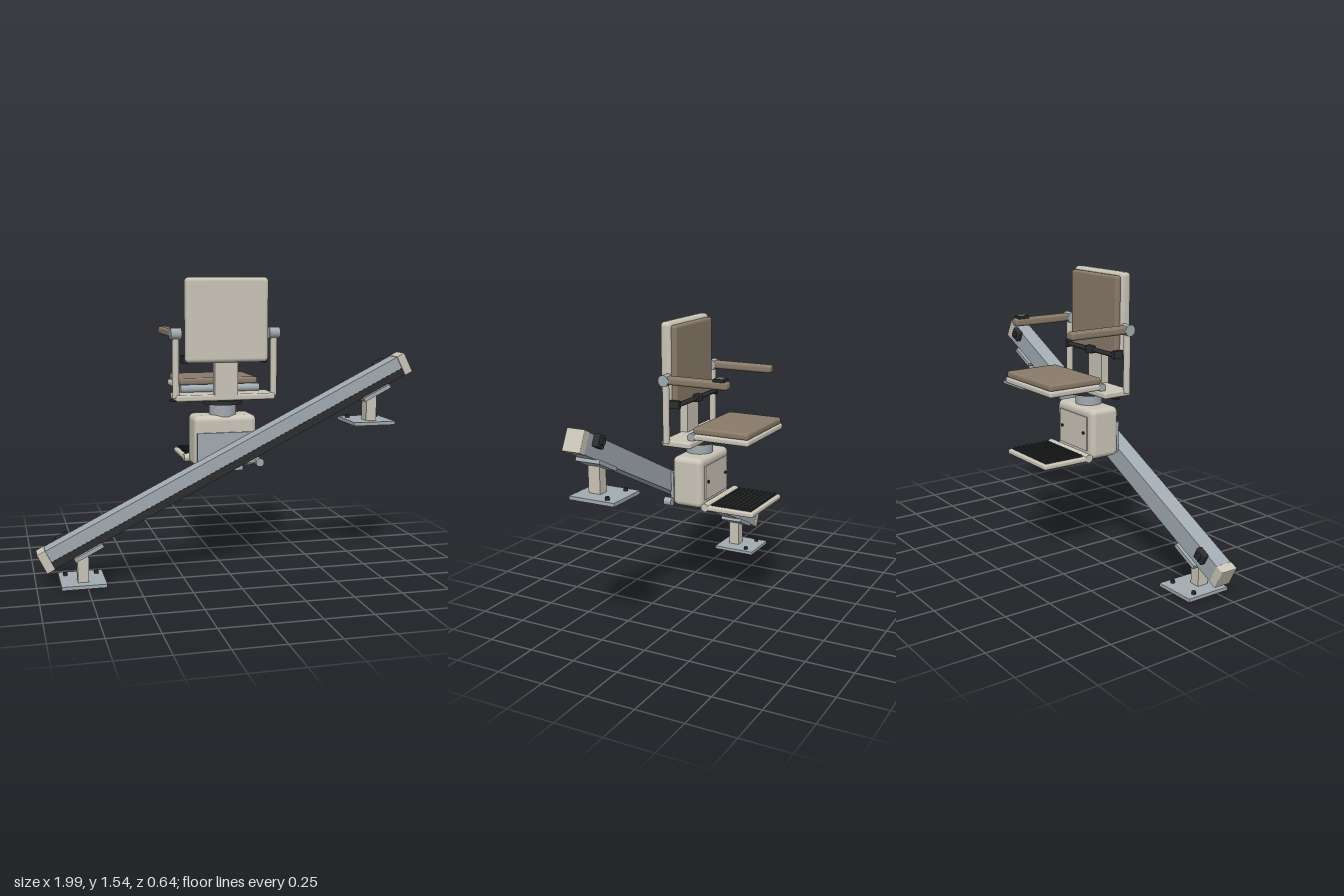
import * as THREE from 'three';
import { RoundedBoxGeometry } from 'three/addons/geometries/RoundedBoxGeometry.js';

const SLOPE = Math.atan(0.5);
const RAIL_Y = 0.61, RAIL_Z = 0.218;

export function createModel() {
  const model = new THREE.Group();
  model.name = 'stairLift';

  const material = (name, color) => {
    const m = new THREE.MeshStandardMaterial({ color });
    m.name = name;
    return m;
  };
  const beige = material('beige shell', 0xcac5b8);
  const steel = material('grey metal', 0xa2abb1);
  const brown = material('brown upholstery', 0x8a7b6a);
  const dark = material('dark rubber', 0x2c2e30);

  const add = (parent, name, geometry, mat, x, y, z) => {
    const mesh = new THREE.Mesh(geometry, mat);
    mesh.name = name;
    mesh.position.set(x, y, z);
    parent.add(mesh);
    return mesh;
  };
  // Box given by its limits; a radius rounds its edges
  const box = (parent, name, mat, [x0, x1], [y0, y1], [z0, z1], radius = 0) => {
    const size = [x1 - x0, y1 - y0, z1 - z0];
    const geometry = radius
      ? new RoundedBoxGeometry(...size, 4, radius)
      : new THREE.BoxGeometry(...size);
    return add(parent, name, geometry, mat, (x0 + x1) / 2, (y0 + y1) / 2, (z0 + z1) / 2);
  };
  // Cylinder along a chosen axis
  const rod = (parent, name, mat, radius, length, axis, x, y, z, sides = 28) => {
    const geometry = new THREE.CylinderGeometry(radius, radius, length, sides);
    if (axis === 'x') geometry.rotateZ(Math.PI / 2);
    if (axis === 'z') geometry.rotateX(Math.PI / 2);
    return add(parent, name, geometry, mat, x, y, z);
  };

  // Sloping rail with rack, end caps, saddles and end stops
  const rail = new THREE.Group();
  rail.name = 'rail';
  rail.position.set(0, RAIL_Y, RAIL_Z);
  rail.rotation.z = SLOPE;
  model.add(rail);
  box(rail, 'railBeam', steel, [-1.05, 1.05], [-0.053, 0.053], [-0.048, 0.045]);
  box(rail, 'rack', dark, [-1.045, 1.045], [-0.053, -0.012], [0.044, 0.047]);
  for (const s of [-1, 1]) {
    box(rail, 'endCap', beige, s < 0 ? [-1.0865, -1.04] : [1.04, 1.0865],
      [-0.056, 0.056], [-0.049, 0.049], 0.004);
    const along = s * 0.765 / Math.cos(SLOPE);
    box(rail, 'saddle', steel, [along - 0.08, along + 0.08], [-0.071, -0.05], [-0.067, 0.067]);
    const stop = s * 0.855 / Math.cos(SLOPE) + 0.014;
    box(rail, 'endStop', dark, [stop - 0.032, stop + 0.032], [-0.002, 0.062], [-0.077, -0.046], 0.006);
    rod(rail, 'stopButton', dark, 0.018, 0.012, 'z', stop, 0.03, -0.082);
  }

  // Support feet under each end of the rail
  for (const s of [-1, 1]) {
    const x = s * 0.767, floor = s < 0 ? 0.004 : 0.776;
    box(model, 'footPlate', steel, [x - 0.114, x + 0.114], [floor - 0.004, floor + 0.014], [0.067, 0.32]);
    box(model, 'supportPost', beige, [x - 0.028, x + 0.028],
      [floor + 0.012, RAIL_Y + x * 0.5 - 0.066], [0.2, 0.265]);
    for (const b of [-1, 1]) rod(model, 'plateBolt', dark, 0.012, 0.016, 'y', x + b * 0.08, floor + 0.021, 0.125, 6);
  }

  // Carriage housing and its panels
  box(model, 'carriageHousing', beige, [-0.168, 0.166], [0.556, 0.828], [-0.01, 0.165], 0.03);
  box(model, 'mountingPlate', steel, [-0.155, 0.165], [0.572, 0.74], [0.155, 0.174]);
  box(model, 'lowerGuide', steel, [-0.05, 0.09], [0.536, 0.57], [0.13, 0.17]);
  rod(model, 'guideRoller', steel, 0.022, 0.045, 'z', 0.175, 0.578, 0.18);
  box(model, 'accessPanel', beige, [-0.125, 0.125], [0.6, 0.785], [-0.018, -0.009]);
  for (const s of [-1, 1]) rod(model, 'panelScrew', dark, 0.008, 0.008, 'z', s * 0.1, 0.695, -0.021, 16);

  // Folding footrest with ribbed tread
  rod(model, 'footrestHinge', beige, 0.022, 0.37, 'x', 0, 0.577, -0.04);
  box(model, 'footrestArm', beige, [-0.1, 0.1], [0.562, 0.585], [-0.05, 0.01]);
  box(model, 'footrest', beige, [-0.185, 0.185], [0.56, 0.588], [-0.318, -0.04], 0.01);
  box(model, 'footrestTread', dark, [-0.165, 0.165], [0.586, 0.594], [-0.3, -0.07]);
  for (let i = 0; i < 9; i++) {
    const z = -0.288 + i * 0.0258;
    box(model, 'treadRib', dark, [-0.162, 0.162], [0.593, 0.6], [z - 0.006, z + 0.006]);
  }

  // Swivel column and seat base
  rod(model, 'swivelColumn', steel, 0.072, 0.08, 'y', 0, 0.86, 0.085, 40);
  rod(model, 'swivelDisc', dark, 0.104, 0.022, 'y', 0, 0.896, 0.085, 40);
  box(model, 'seatBase', beige, [-0.265, 0.265], [0.907, 0.94], [0, 0.168], 0.01);
  box(model, 'swivelLever', dark, [-0.282, -0.2], [0.898, 0.91], [0.06, 0.085], 0.004);

  // Seat
  rod(model, 'seatHinge', steel, 0.022, 0.43, 'x', 0, 0.957, 0.022);
  box(model, 'seatPan', beige, [-0.222, 0.222], [0.945, 0.978], [-0.306, 0.006], 0.012);
  box(model, 'seatCushion', brown, [-0.213, 0.213], [0.974, 1.012], [-0.3, 0.014], 0.014);

  // Backrest
  box(model, 'backSpine', beige, [-0.062, 0.06], [0.915, 1.2], [0.125, 0.172]);
  box(model, 'backShell', beige, [-0.219, 0.219], [1.107, 1.543], [0.137, 0.198], 0.022);
  box(model, 'backCushion', brown, [-0.203, 0.203], [1.117, 1.525], [0.11, 0.15], 0.014);

  // Safety belt across the lower back
  rod(model, 'beltStrap', dark, 0.012, 0.43, 'x', 0, 1.118, 0.1);
  box(model, 'beltBuckle', dark, [-0.026, 0.026], [1.1, 1.14], [0.078, 0.112], 0.005);

  // Armrests, mirrored
  for (const s of [-1, 1]) {
    const x = s * 0.262;
    box(model, 'beltAnchor', dark, [s * 0.213 - 0.012, s * 0.213 + 0.012], [1.1, 1.143], [0.085, 0.145], 0.004);
    rod(model, 'armPost', beige, 0.018, 0.32, 'y', x, 1.085, 0.14);
    rod(model, 'armPivot', steel, 0.03, 0.056, 'x', x, 1.255, 0.14);
    box(model, 'armrest', brown, [x - 0.027, x + 0.027], [1.236, 1.278], [-0.218, 0.135], 0.014);
  }

  // Control on the left armrest
  box(model, 'controlPad', dark, [0.238, 0.286], [1.274, 1.29], [-0.205, -0.138], 0.004);
  box(model, 'controlSwitch', steel, [0.25, 0.274], [1.289, 1.297], [-0.19, -0.155]);

  return model;
}
